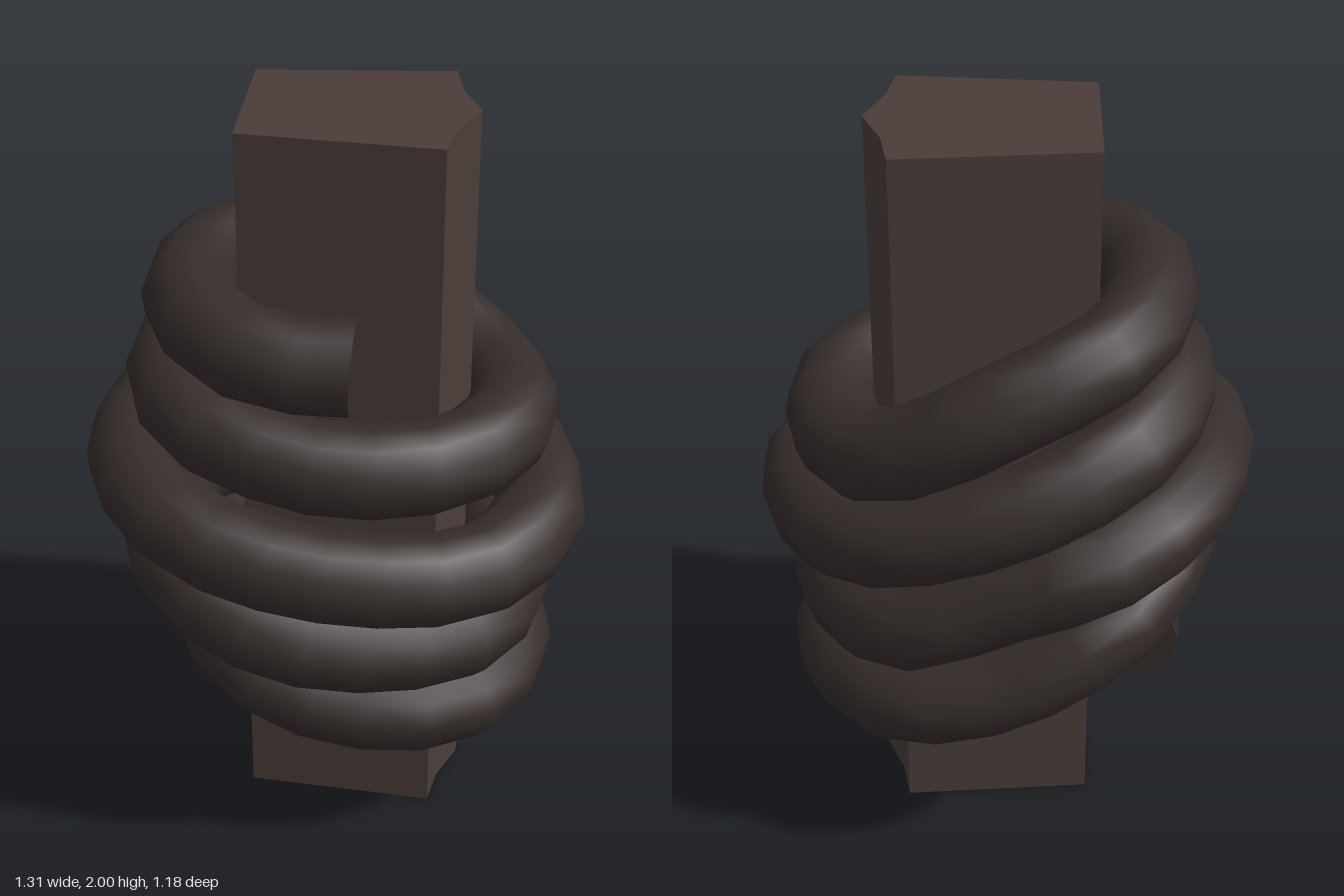
import * as THREE from 'three';

const TUBE_RADIUS = 0.12;

// Centreline of the rope, one winding per row, from the top end down
const WINDINGS = [
  [[0.07, 1.48, 0.35], [-0.16, 1.49, 0.345], [-0.33, 1.52, 0.21], [-0.37, 1.52, 0], [-0.27, 1.5, -0.25], [0, 1.4, -0.365], [0.2, 1.28, -0.345], [0.35, 1.2, -0.26]],
  [[0.44, 1.18, -0.08], [0.44, 1.19, 0.1], [0.31, 1.19, 0.29], [0, 1.2, 0.37], [-0.33, 1.26, 0.27], [-0.43, 1.29, 0.02], [-0.33, 1.26, -0.29], [-0.08, 1.16, -0.42], [0.26, 1.03, -0.39], [0.42, 0.98, -0.28]],
  [[0.5, 0.95, -0.12], [0.535, 0.93, 0.12], [0.37, 0.92, 0.38], [0, 0.95, 0.47], [-0.33, 1.01, 0.41], [-0.49, 1.05, 0.24], [-0.54, 1.06, 0.04], [-0.45, 1.06, -0.28], [-0.25, 1.01, -0.46], [0, 0.9, -0.45], [0.26, 0.77, -0.4]],
  [[0.42, 0.71, -0.17], [0.45, 0.68, 0.1], [0.34, 0.68, 0.32], [0, 0.71, 0.44], [-0.24, 0.77, 0.41], [-0.4, 0.84, 0.29], [-0.45, 0.87, 0.08], [-0.43, 0.84, -0.16], [-0.28, 0.74, -0.36], [0, 0.58, -0.42], [0.28, 0.5, -0.37]],
  [[0.44, 0.46, -0.14], [0.46, 0.44, 0.1], [0.31, 0.44, 0.31], [0, 0.47, 0.36], [-0.25, 0.56, 0.28], [-0.35, 0.62, 0.02], [-0.34, 0.62, -0.28]],
];

// Post with a ridge down one side, slightly narrower at the foot
function makePost(material) {
  const outline = [[-0.23, 0.195], [0.27, 0.235], [0.29, 0.12], [0.34, 0], [0.29, -0.12], [0.27, -0.235], [-0.23, -0.195]];
  const shape = new THREE.Shape(outline.map(([x, z]) => new THREE.Vector2(x, -z)));
  const geometry = new THREE.ExtrudeGeometry(shape, { depth: 2, bevelEnabled: false });
  geometry.rotateX(-Math.PI / 2);
  const p = geometry.attributes.position;
  for (let i = 0; i < p.count; i++) {
    if (p.getY(i) < 1) p.setZ(i, p.getZ(i) * 0.92);
  }
  geometry.computeVertexNormals();
  const post = new THREE.Mesh(geometry, material);
  post.name = 'post';
  return post;
}

// Rope swept along the windings, closed by a flat disc at each end
function makeRope(material) {
  const rope = new THREE.Group();
  rope.name = 'rope';
  const points = WINDINGS.flat().map((p) => new THREE.Vector3(...p));
  const curve = new THREE.CatmullRomCurve3(points, false, 'centripetal');
  const coil = new THREE.Mesh(new THREE.TubeGeometry(curve, 90, TUBE_RADIUS, 12), material);
  coil.name = 'coil';
  rope.add(coil);
  for (const [t, sign, name] of [[0, -1, 'topRopeEnd'], [1, 1, 'bottomRopeEnd']]) {
    const cap = new THREE.Mesh(new THREE.CircleGeometry(TUBE_RADIUS, 12), material);
    cap.name = name;
    cap.position.copy(curve.getPointAt(t));
    cap.quaternion.setFromUnitVectors(new THREE.Vector3(0, 0, 1), curve.getTangentAt(t).multiplyScalar(sign));
    rope.add(cap);
  }
  return rope;
}

export function createModel() {
  const model = new THREE.Group();
  model.name = 'ropeBoundPost';
  const wood = new THREE.MeshStandardMaterial({ color: 0x4b3d39 });
  const cord = new THREE.MeshStandardMaterial({ color: 0x352d2b });
  model.add(makePost(wood), makeRope(cord));
  return model;
}
